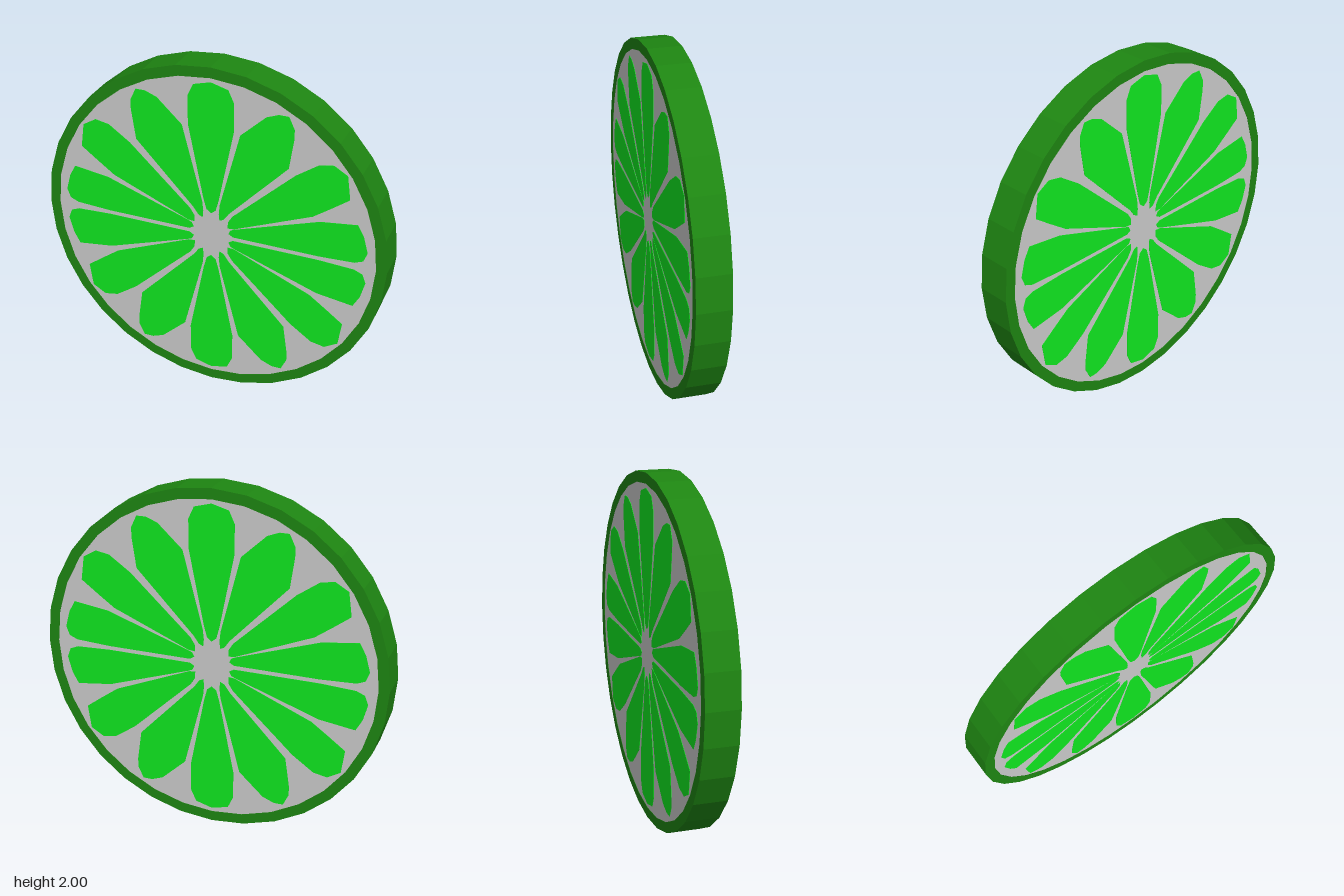
import * as THREE from 'three';

const SIDES = 32, OUTER = 1, INNER = 0.94, HALF = 0.094;

const rindMat = new THREE.MeshStandardMaterial({ color: 0x1e8612, flatShading: true });
const pithMat = new THREE.MeshStandardMaterial({ color: 0xcccccc, flatShading: true });
const pulpMat = new THREE.MeshStandardMaterial({ color: 0x10e820, flatShading: true });

// Regular polygon with a corner at the top and at each side
function ngon(radius) {
  return Array.from({ length: SIDES }, (_, i) => {
    const a = (i / SIDES) * Math.PI * 2;
    return new THREE.Vector2(Math.cos(a) * radius, Math.sin(a) * radius);
  });
}

// Plate of the given half thickness, centred on z = 0
function plate(name, shape, half, material) {
  const geo = new THREE.ExtrudeGeometry(shape, { depth: half * 2, bevelEnabled: false });
  geo.translate(0, 0, -half);
  const mesh = new THREE.Mesh(geo, material);
  mesh.name = name;
  return mesh;
}

// Segment outlines, measured from the centre of the slice
const TOP = [
  [0, 0.136], [0.027, 0.158], [0.045, 0.225], [0.13, 0.655], [0.13, 0.82], [0.098, 0.89],
  [0, 0.917], [-0.098, 0.89], [-0.13, 0.82], [-0.13, 0.655], [-0.045, 0.225], [-0.027, 0.158],
];
const UPPER = [
  [0.05, 0.1], [0.075, 0.112], [0.105, 0.155], [0.437, 0.505], [0.462, 0.68], [0.462, 0.735],
  [0.43, 0.803], [0.375, 0.803], [0.308, 0.777], [0.166, 0.644], [0.052, 0.2], [0.046, 0.14],
];
const MIDDLE = [
  [0.098, 0.062], [0.135, 0.065], [0.58, 0.25], [0.68, 0.322], [0.775, 0.393], [0.756, 0.53],
  [0.68, 0.575], [0.6, 0.56], [0.476, 0.473], [0.125, 0.142], [0.1, 0.102],
];
const SIDE = [
  [0.103, 0.028], [0.13, 0.012], [0.62, 0.012], [0.82, 0.022], [0.868, 0.042], [0.888, 0.095],
  [0.862, 0.19], [0.826, 0.255], [0.62, 0.227], [0.14, 0.063], [0.115, 0.052],
];

export function createModel() {
  const slice = new THREE.Group();
  slice.name = 'citrusSlice';

  // Rind ring
  const ring = new THREE.Shape(ngon(OUTER));
  ring.holes.push(new THREE.Path(ngon(INNER)));
  slice.add(plate('rind', ring, HALF, rindMat));

  // Pith disc, a hair below the pulp
  slice.add(plate('pith', new THREE.Shape(ngon(INNER)), HALF - 0.002, pithMat));

  // Pulp segments, mirrored into the four quarters
  const pulp = new THREE.Group();
  pulp.name = 'pulp';
  const addSegment = (outline, sx, sy) => {
    const pts = outline.map(([x, y]) => new THREE.Vector2(x * sx, y * sy));
    pulp.add(plate('pulpSegment', new THREE.Shape(pts), HALF, pulpMat));
  };
  for (const sy of [1, -1]) {
    addSegment(TOP, 1, sy);
    for (const sx of [1, -1]) {
      for (const outline of [UPPER, MIDDLE, SIDE]) addSegment(outline, sx, sy);
    }
  }
  slice.add(pulp);

  slice.position.y = OUTER;
  const model = new THREE.Group();
  model.name = 'model';
  model.add(slice);
  return model;
}
